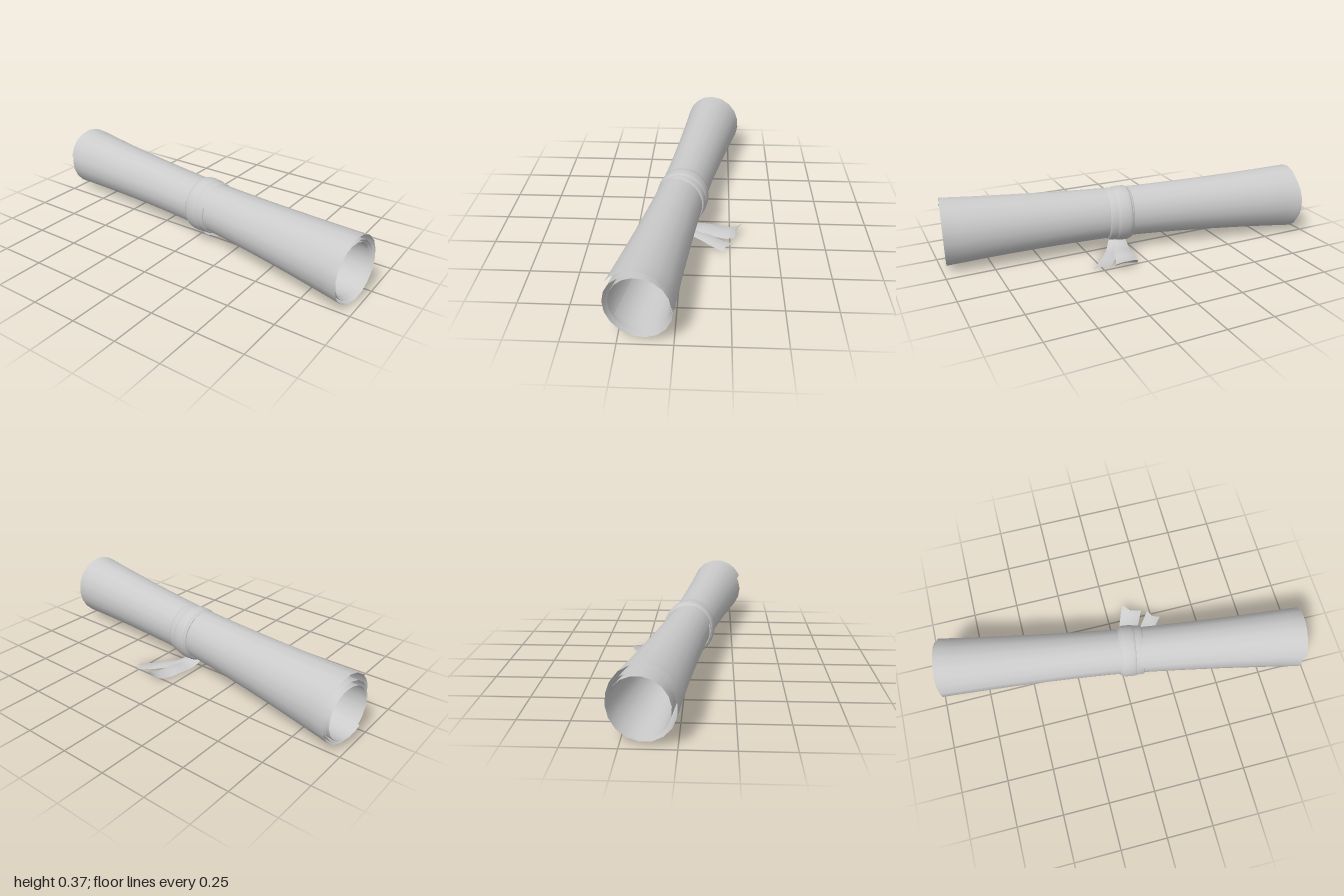
import * as THREE from 'three';

const paper = new THREE.MeshStandardMaterial({ color: 0xcccccc, side: THREE.DoubleSide });

// Smooth open surface from a rule fn(u, v) -> Vector3, u and v in 0..1
function surface(name, nu, nv, fn) {
  const pos = [], idx = [];
  for (let i = 0; i <= nu; i++) {
    for (let j = 0; j <= nv; j++) {
      pos.push(...fn(i / nu, j / nv).toArray());
      if (i < nu && j < nv) {
        const a = i * (nv + 1) + j, b = a + nv + 1;
        idx.push(a, b, a + 1, b, b + 1, a + 1);
      }
    }
  }
  const geo = new THREE.BufferGeometry();
  geo.setAttribute('position', new THREE.Float32BufferAttribute(pos, 3));
  geo.setIndex(idx);
  geo.computeVertexNormals();
  const mesh = new THREE.Mesh(geo, paper);
  mesh.name = name;
  return mesh;
}

// Rolled sheet: a spiral of almost three turns, pinched at the middle
function rolledSheet() {
  // degrees turned from the outer edge, radius at the flared ends
  const spiral = new THREE.SplineCurve([
    [0, 0.175], [60, 0.188], [150, 0.158], [240, 0.168], [330, 0.159],
    [420, 0.156], [510, 0.151], [600, 0.154], [690, 0.137], [780, 0.136],
    [870, 0.143], [960, 0.14], [1015, 0.136],
  ].map(([d, r]) => new THREE.Vector2(d, r)));
  return surface('rolledSheet', 54, 24, (u, v) => {
    const p = spiral.getPoint(u);
    const s = 2 * v - 1;
    const flare = Math.abs(s) ** 1.6;
    const r = p.y * (0.76 + 0.24 * flare);
    const a = THREE.MathUtils.degToRad(150 + 7 * (1 - s) - p.x);
    // inner turns slide a little toward the back
    const z = 0.012 + 0.975 * s - 0.033 * u;
    return new THREE.Vector3(r * Math.cos(a), 0.19 - 0.01 * flare + r * Math.sin(a), z);
  });
}

// Ribbon wound round the middle: a wide turn with a raised turn over it
function band(name, profile, z) {
  const pts = new THREE.SplineCurve(profile.map(([r, h]) => new THREE.Vector2(r, h))).getPoints(12);
  const geo = new THREE.LatheGeometry(pts, 28);
  geo.rotateX(Math.PI / 2);
  geo.scale(0.96, 1.04, 1);
  const mesh = new THREE.Mesh(geo, paper);
  mesh.name = name;
  mesh.position.set(0, 0.192, z);
  return mesh;
}

// Loose ribbon end following a path; widths run from start to end
function tail(name, path, w0, w1, arch, lift) {
  const curve = new THREE.CatmullRomCurve3(path.map((p) => new THREE.Vector3(...p)));
  return surface(name, 20, 6, (u, v) => {
    const p = curve.getPoint(u), t = curve.getTangent(u);
    const side = new THREE.Vector3(-t.z, 0, t.x).normalize();
    const k = 2 * v - 1;
    p.addScaledVector(side, k * THREE.MathUtils.lerp(w0, w1, u) / 2);
    p.y += arch * (1 - k * k) - lift * k * u ** 4;
    // notched tip
    if (u === 1) p.addScaledVector(t, 0.02 * (Math.abs(k) - 1));
    p.y = Math.max(p.y, 0);
    return p;
  });
}

export function createModel() {
  const model = new THREE.Group();
  model.name = 'tiedScroll';

  const roll = new THREE.Group();
  roll.name = 'roll';
  roll.rotation.y = -0.16;
  roll.add(
    rolledSheet(),
    band('wideRibbonTurn', [[0.127, -0.065], [0.136, -0.058], [0.139, 0], [0.136, 0.058], [0.127, 0.066]], 0.06),
    band('raisedRibbonTurn', [[0.13, -0.042], [0.141, -0.034], [0.144, 0], [0.141, 0.034], [0.13, 0.042]], 0.045),
  );
  model.add(roll);

  // Two loose ends spreading from under the roll
  model.add(
    tail('wideRibbonTail', [
      [-0.07, 0.05, 0.05], [0, 0.025, 0.06], [0.05, 0.008, 0.07], [0.13, 0.008, 0.085],
      [0.2, 0.003, 0.105], [0.26, 0.015, 0.13], [0.298, 0.045, 0.148],
    ], 0.09, 0.115, 0.008, 0.015),
    tail('narrowRibbonTail', [
      [-0.06, 0.05, 0.05], [0, 0.022, 0.085], [0.05, 0.006, 0.115], [0.12, 0.004, 0.165],
      [0.18, 0.001, 0.215], [0.245, 0.008, 0.268],
    ], 0.06, 0.08, 0.006, 0.006),
  );
  return model;
}
